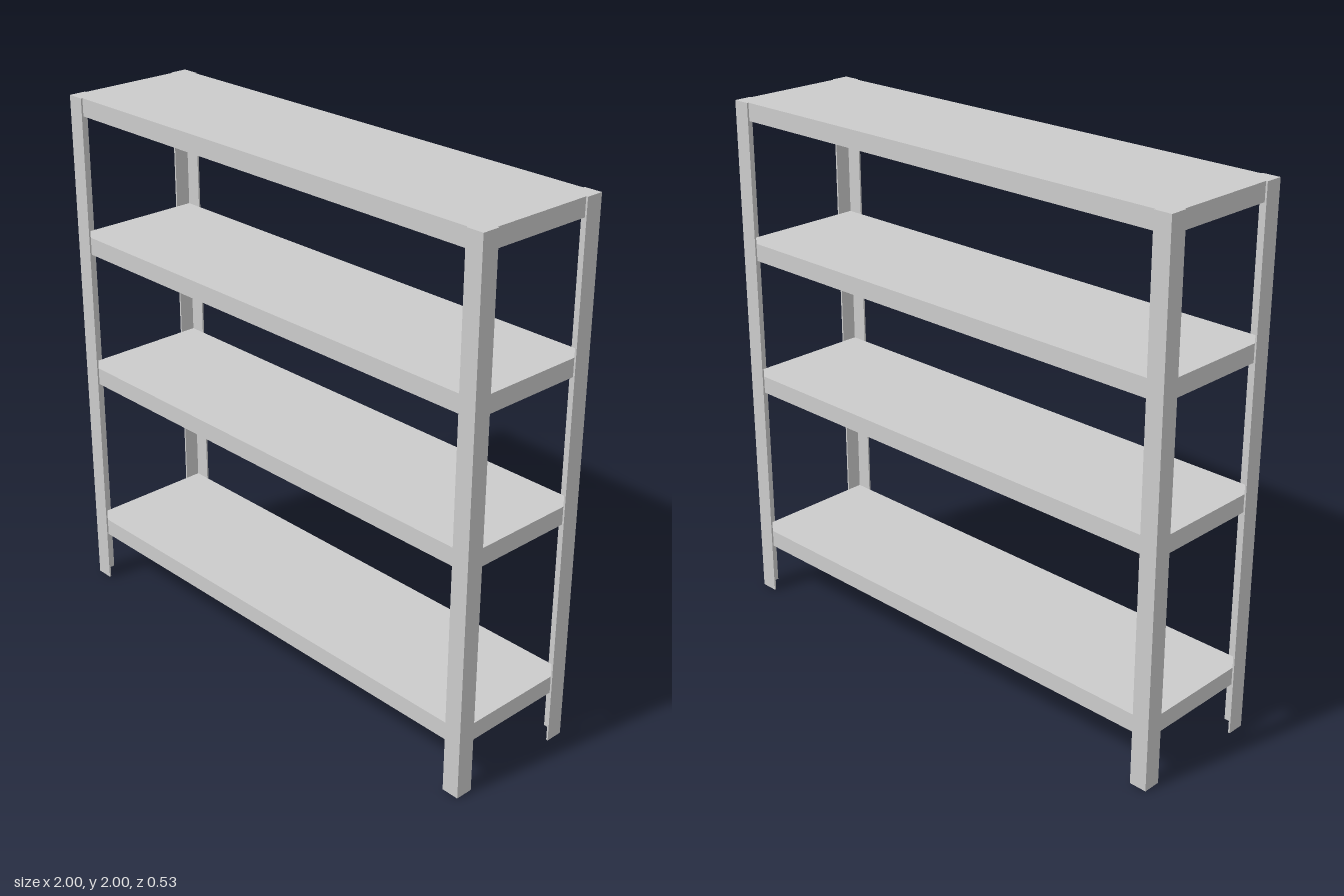
import * as THREE from 'three';

const W = 1, D = 0.267, H = 2;      // half width, half depth, height
const FLANGE = 0.067, T = 0.0067;   // angle-iron flange width and thickness
const SHELF_H = 0.067;

export function createModel() {
  const group = new THREE.Group();
  group.name = 'shelvingUnit';
  const material = new THREE.MeshStandardMaterial({ color: 0xcccccc, flatShading: true });

  const add = (geometry, name) => {
    const mesh = new THREE.Mesh(geometry, material);
    mesh.name = name;
    group.add(mesh);
    return mesh;
  };

  // L-section corner posts, with the outer corner of the angle facing outward
  for (const [sx, xName] of [[1, 'Left'], [-1, 'Right']]) {
    for (const [sz, zName] of [[1, 'front'], [-1, 'back']]) {
      const points = [
        [0, 0], [FLANGE, 0], [FLANGE, T], [T, T], [T, FLANGE], [0, FLANGE],
      ].map(([a, b]) => new THREE.Vector2(sx * (W - a), -sz * (D - b)));
      const geometry = new THREE.ExtrudeGeometry(new THREE.Shape(points), {
        depth: H, bevelEnabled: false,
      });
      geometry.rotateX(-Math.PI / 2);
      add(geometry, `${zName}${xName}Post`);
    }
  }

  // Four shelves fitted inside the posts
  [0.2, 0.869, 1.403, H - SHELF_H].forEach((bottom, i) => {
    const shelf = add(new THREE.BoxGeometry(2 * (W - T), SHELF_H, 2 * (D - T)), `shelf${i + 1}`);
    shelf.position.y = bottom + SHELF_H / 2;
  });

  return group;
}
